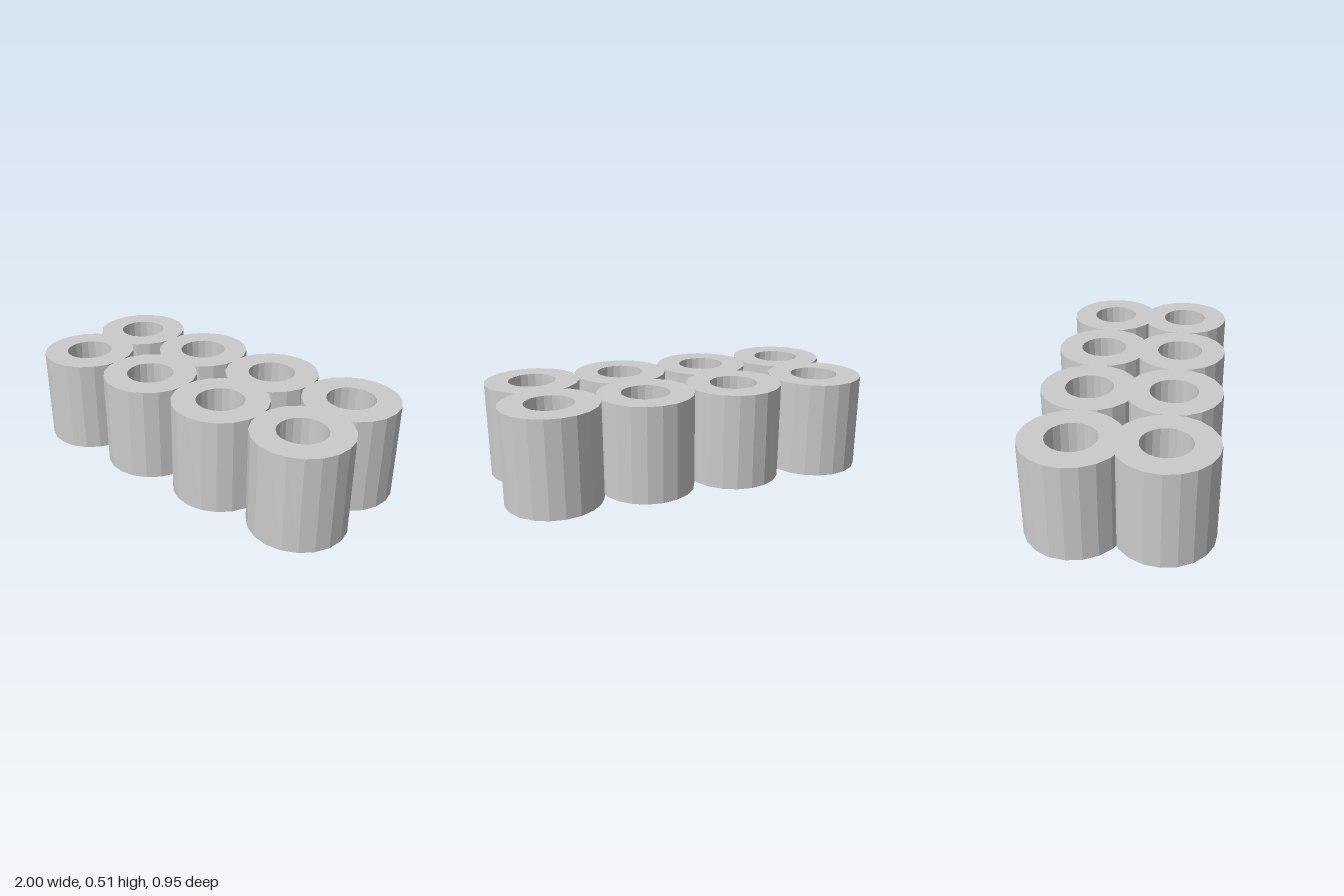
import * as THREE from 'three';

const OUTER = 0.254, INNER = 0.127, HEIGHT = 0.512, SIDES = 20;
const STEP_X = 0.4973, ROW_Z = 0.219;

export function createModel() {
  const group = new THREE.Group();
  group.name = 'tubeBlock';
  const material = new THREE.MeshStandardMaterial({ color: 0xcccccc, flatShading: true });

  // Closed ring profile: outer wall, top rim, bore, bottom rim
  const profile = [
    [OUTER, 0], [OUTER, HEIGHT], [INNER, HEIGHT], [INNER, 0], [OUTER, 0],
  ].map(([r, y]) => new THREE.Vector2(r, y));
  const geometry = new THREE.LatheGeometry(profile, SIDES);

  // Two rows of four merged tubes
  for (const side of [-1, 1]) {
    for (let i = 0; i < 4; i++) {
      const tube = new THREE.Mesh(geometry, material);
      tube.name = `${side < 0 ? 'back' : 'front'}Tube${i + 1}`;
      tube.position.set((i - 1.5) * STEP_X, 0, side * ROW_Z);
      group.add(tube);
    }
  }
  return group;
}
